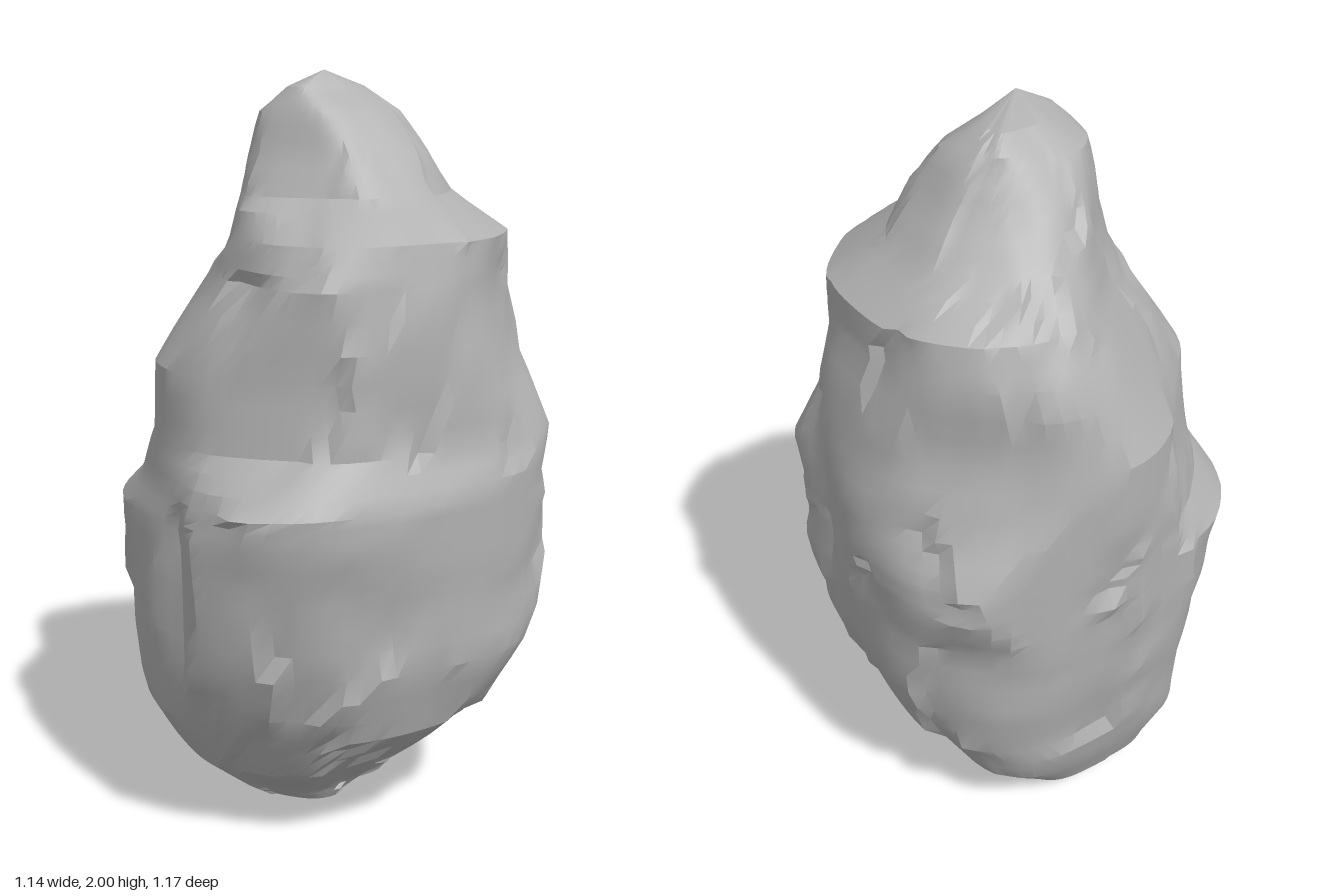
import * as THREE from 'three';
import { toCreasedNormals } from 'three/addons/utils/BufferGeometryUtils.js';

// Cross-sections: height, then reach in eight directions, turning from +x through +z, -x and -z
const RINGS = [
  [0.03, 0.05, 0.10, 0.15, 0.22, 0.27, 0.28, 0.19, 0.10],
  [0.07, 0.12, 0.12, 0.20, 0.28, 0.41, 0.37, 0.32, 0.19],
  [0.21, 0.22, 0.29, 0.38, 0.43, 0.50, 0.42, 0.45, 0.32],
  [0.36, 0.43, 0.42, 0.45, 0.52, 0.50, 0.46, 0.49, 0.43],
  [0.55, 0.55, 0.48, 0.52, 0.56, 0.53, 0.49, 0.52, 0.49],
  [0.75, 0.57, 0.48, 0.56, 0.56, 0.56, 0.51, 0.53, 0.51],
  [0.90, 0.58, 0.49, 0.59, 0.55, 0.59, 0.51, 0.60, 0.51],
  [0.98, 0.55, 0.48, 0.60, 0.52, 0.50, 0.52, 0.58, 0.52],
  [1.10, 0.56, 0.43, 0.47, 0.50, 0.46, 0.54, 0.50, 0.52],
  [1.28, 0.47, 0.43, 0.44, 0.48, 0.43, 0.53, 0.45, 0.49],
  [1.50, 0.43, 0.41, 0.45, 0.33, 0.30, 0.43, 0.44, 0.43],
  [1.60, 0.43, 0.38, 0.39, 0.31, 0.24, 0.37, 0.41, 0.43],
  [1.70, 0.29, 0.26, 0.23, 0.28, 0.21, 0.29, 0.29, 0.29],
  [1.80, 0.25, 0.20, 0.19, 0.24, 0.20, 0.22, 0.20, 0.21],
  [1.90, 0.16, 0.14, 0.17, 0.20, 0.18, 0.13, 0.14, 0.15],
  [1.96, 0.07, 0.08, 0.15, 0.15, 0.09, 0.06, 0.13, 0.07],
];
// Plan outline: greatest radius every 15 degrees, from +x through +z
const OUTLINE = [
  0.56, 0.53, 0.50, 0.49, 0.51, 0.565, 0.59, 0.61, 0.52, 0.57, 0.565, 0.58,
  0.59, 0.575, 0.505, 0.53, 0.505, 0.53, 0.60, 0.565, 0.535, 0.515, 0.50, 0.58,
];
const SEGMENTS = 72, SUBDIVISIONS = 3, SHARPNESS = 11;

function seeded(seed) {
  return () => (seed = (seed * 16807) % 2147483647) / 2147483647;
}

// Chips: each surface point takes the tilt of its nearest cell, leaving broken edges between cells
function makeChips() {
  const rand = seeded(4271);
  return Array.from({ length: 90 }, () => {
    const a = rand() * Math.PI * 2;
    return {
      centre: new THREE.Vector3(Math.cos(a) * 0.48, rand() * 1.9, Math.sin(a) * 0.48),
      tilt: new THREE.Vector3(rand() - 0.5, rand() - 0.5, rand() - 0.5).multiplyScalar(0.18),
      lift: (rand() - 0.6) * 0.016,
    };
  });
}

function chipDepth(p, chips) {
  let best = chips[0], near = Infinity;
  for (const c of chips) {
    const d = c.centre.distanceToSquared(p);
    if (d < near) { near = d; best = c; }
  }
  const offset = best.lift + p.clone().sub(best.centre).dot(best.tilt);
  return THREE.MathUtils.clamp(offset, -0.018, 0.012);
}

// Radius of a softened eight-sided section at one angle, measured from its centre
function sectionRadius(angle, reach, cx, cz) {
  let sum = 0;
  reach.forEach((h, k) => {
    const b = k * Math.PI / 4;
    const side = h - cx * Math.cos(b) - cz * Math.sin(b);
    sum += (Math.max(0, Math.cos(angle - b)) / side) ** SHARPNESS;
  });
  return sum ** (-1 / SHARPNESS);
}

// Trim a point back to the plan outline
function trim(p) {
  const n = OUTLINE.length;
  const turn = (Math.atan2(p.z, p.x) / (Math.PI * 2) + 1) * n;
  const k = Math.floor(turn);
  const limit = THREE.MathUtils.lerp(OUTLINE[k % n], OUTLINE[(k + 1) % n], turn - k);
  const scale = Math.min(1, limit / Math.hypot(p.x, p.z));
  p.x *= scale;
  p.z *= scale;
}

function rockGeometry() {
  const chips = makeChips(), positions = [], index = [];
  const rows = (RINGS.length - 1) * SUBDIVISIONS + 1;
  for (let r = 0; r < rows; r++) {
    const k = Math.min(Math.floor(r / SUBDIVISIONS), RINGS.length - 2);
    const t = r / SUBDIVISIONS - k;
    const [y, ...reach] = RINGS[k].map((v, i) => THREE.MathUtils.lerp(v, RINGS[k + 1][i], t));
    const cx = (reach[0] - reach[4]) / 2, cz = (reach[2] - reach[6]) / 2;
    for (let s = 0; s < SEGMENTS; s++) {
      const a = (s / SEGMENTS) * Math.PI * 2, c = Math.cos(a), n = Math.sin(a);
      const radius = sectionRadius(a, reach, cx, cz);
      const p = new THREE.Vector3(cx + c * radius, y, cz + n * radius);
      const d = chipDepth(p, chips) * Math.min(1, radius / 0.3);
      p.x += c * d;
      p.z += n * d;
      trim(p);
      positions.push(p.x, p.y, p.z);
    }
  }
  for (let r = 0; r < rows - 1; r++) {
    for (let s = 0; s < SEGMENTS; s++) {
      const i = r * SEGMENTS + s, j = r * SEGMENTS + (s + 1) % SEGMENTS;
      index.push(i, i + SEGMENTS, j, j, i + SEGMENTS, j + SEGMENTS);
    }
  }
  // Close the base and the peak with fans
  const base = positions.length / 3, top = (rows - 1) * SEGMENTS;
  positions.push(-0.22, 0, 0.06, 0, 2, 0.09);
  for (let s = 0; s < SEGMENTS; s++) {
    const next = (s + 1) % SEGMENTS;
    index.push(base, s, next, base + 1, top + next, top + s);
  }
  const geometry = new THREE.BufferGeometry();
  geometry.setAttribute('position', new THREE.Float32BufferAttribute(positions, 3));
  geometry.setIndex(index);
  return toCreasedNormals(geometry, 0.4);
}

export function createModel() {
  const group = new THREE.Group();
  group.name = 'boulder';
  const stone = new THREE.MeshStandardMaterial({ color: 0xb0b0b0 });
  stone.name = 'grey stone';
  const rock = new THREE.Mesh(rockGeometry(), stone);
  rock.name = 'rock';
  group.add(rock);
  return group;
}
